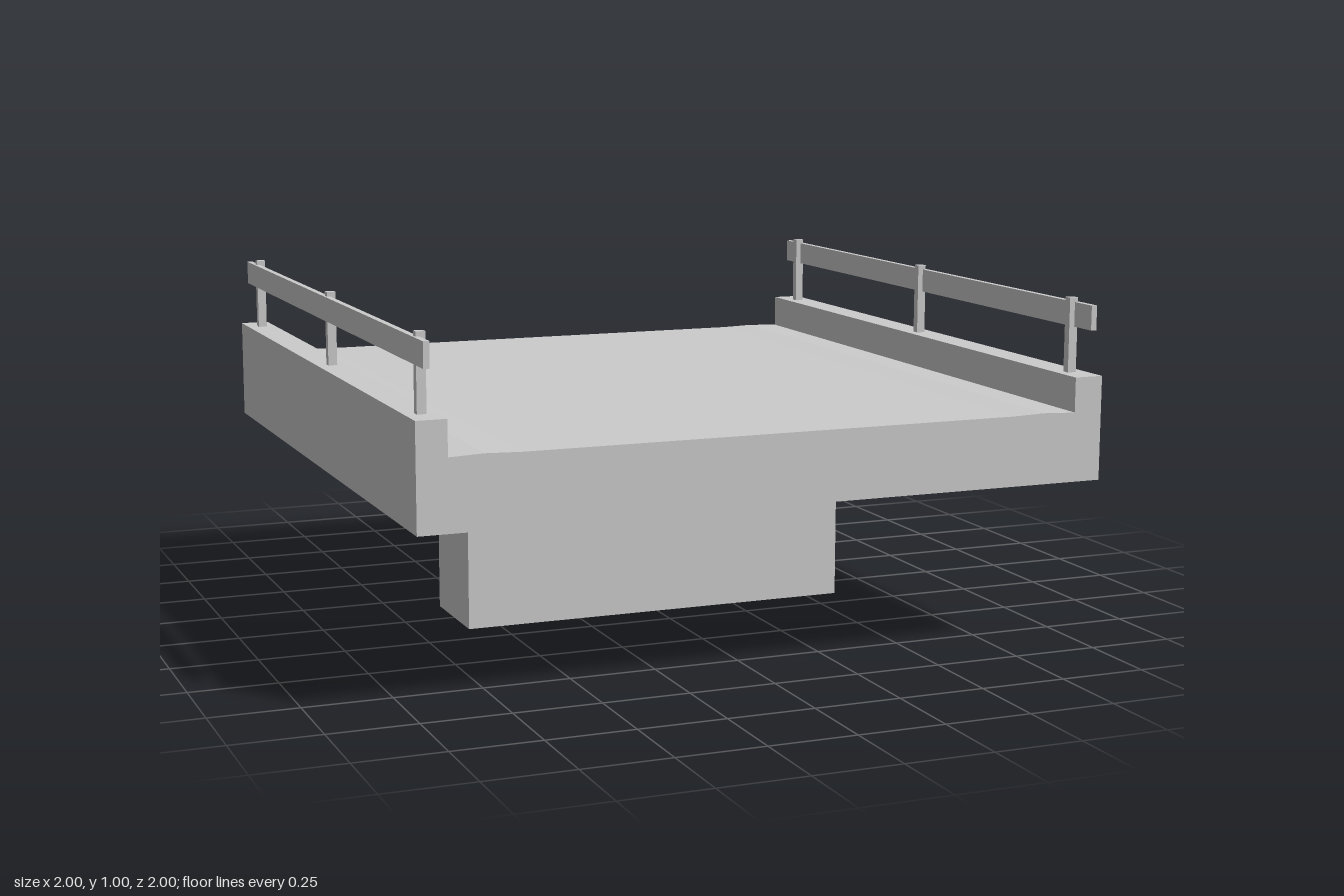
import * as THREE from 'three';

export function createModel() {
  const group = new THREE.Group();
  const material = new THREE.MeshStandardMaterial({ color: 0xcccccc, flatShading: true });

  function add(name, geometry, parent = group) {
    const mesh = new THREE.Mesh(geometry, material);
    mesh.name = name;
    parent.add(mesh);
    return mesh;
  }

  // Box given by its lower and upper limits on each axis
  function box(name, [x0, x1], [y0, y1], [z0, z1], parent) {
    const mesh = add(name, new THREE.BoxGeometry(x1 - x0, y1 - y0, z1 - z0), parent);
    mesh.position.set((x0 + x1) / 2, (y0 + y1) / 2, (z0 + z1) / 2);
  }

  // Bridge deck with raised kerbs and a faint crease beside each gutter
  const profile = [
    [-1, 0.49], [1, 0.49], [1, 0.787], [0.915, 0.787], [0.915, 0.688], [0.818, 0.692], [0.72, 0.689],
    [-0.72, 0.689], [-0.818, 0.692], [-0.915, 0.688], [-0.915, 0.787], [-1, 0.787],
  ];
  const shape = new THREE.Shape(profile.map(([x, y]) => new THREE.Vector2(x, y)));
  const deck = new THREE.ExtrudeGeometry(shape, { depth: 2, bevelEnabled: false });
  deck.translate(0, 0, -1);
  add('deck', deck);

  // Supporting pier
  box('pier', [-0.598, 0.598], [0, 0.49], [-0.148, 0.148]);

  // Railings: three posts with a flat rail let into their outer faces
  for (const [side, name] of [[1, 'left'], [-1, 'right']]) {
    const railing = new THREE.Group();
    railing.name = name + 'Railing';
    group.add(railing);
    const span = (a, b) => (side > 0 ? [a, b] : [-b, -a]);
    for (const z of [-0.9, 0, 0.9]) {
      box('post', span(0.943, 0.969), [0.78, 1], [z - 0.012, z + 0.012], railing);
    }
    box('rail', span(0.959, 0.976), [0.917, 0.987], [-1, 1], railing);
  }

  return group;
}
